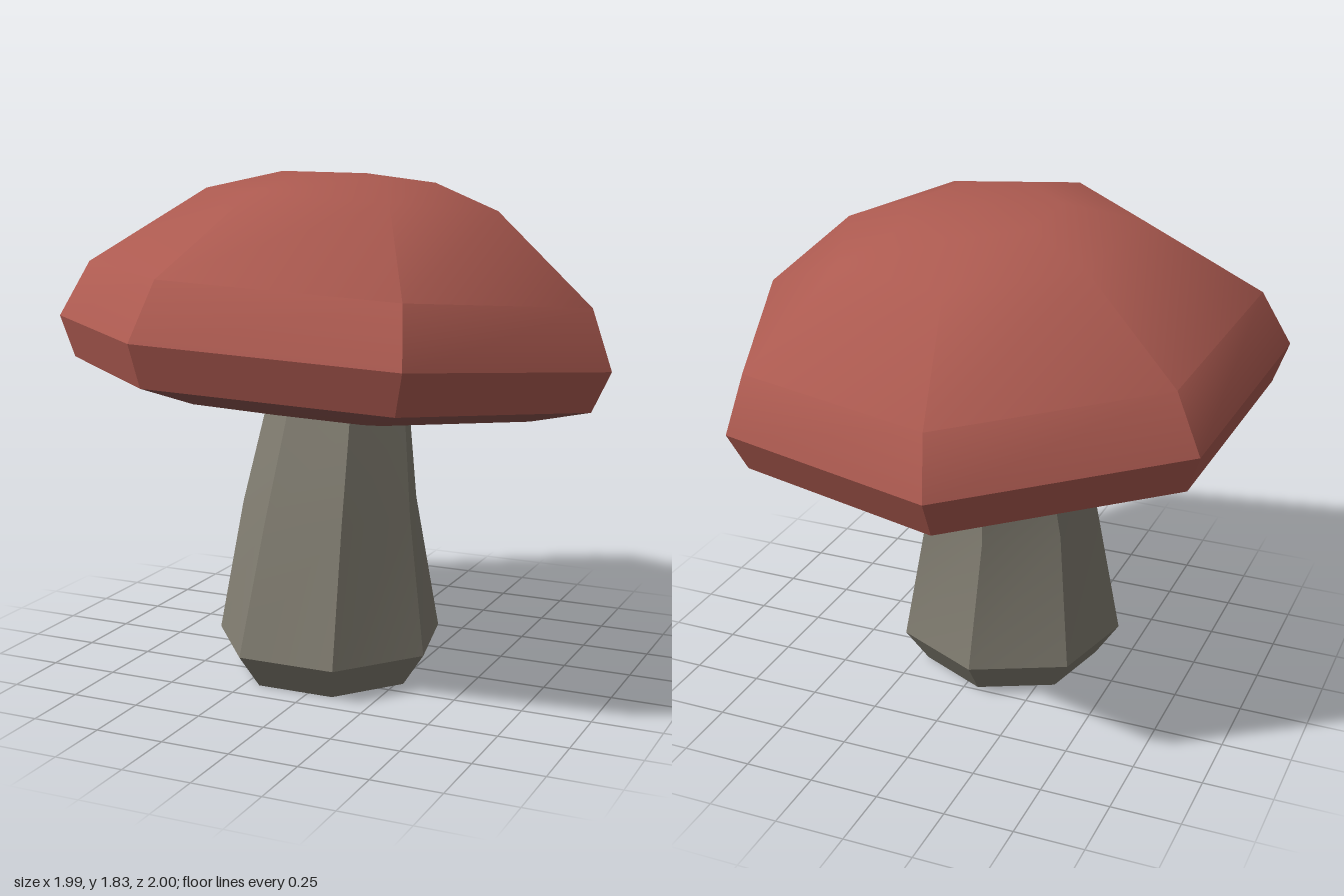
import * as THREE from 'three';
import { toCreasedNormals } from 'three/addons/utils/BufferGeometryUtils.js';

// Skin a stack of rings, listed from bottom to top; a ring of one point closes an end.
function loft(rings, crease) {
  const pos = [];
  const tri = (...pts) => pts.forEach((p) => pos.push(p.x, p.y, p.z));
  const n = Math.max(...rings.map((r) => r.length));
  const at = (ring, j) => ring[j % ring.length];
  for (let i = 0; i < rings.length - 1; i++) {
    const low = rings[i], high = rings[i + 1];
    for (let j = 0; j < n; j++) {
      const a = at(low, j), b = at(low, j + 1), c = at(high, j + 1), d = at(high, j);
      if (low.length > 1) tri(a, d, b);
      if (high.length > 1) tri(d, c, b);
    }
  }
  const geo = new THREE.BufferGeometry();
  geo.setAttribute('position', new THREE.Float32BufferAttribute(pos, 3));
  return toCreasedNormals(geo, crease);
}

// Seven-cornered outline of the cap rim, seen from above (x, z)
const OUTLINE = [
  [0.99, 0.09], [0.55, 0.87], [-0.34, 1.0], [-1.0, 0.39],
  [-0.93, -0.5], [-0.19, -1.0], [0.66, -0.74],
];

// Scaled outline on the tilted cap, moved along the cap's axis
function capRing([scale, offset]) {
  const point = (x, z) => new THREE.Vector3(
    x * scale + 0.044 * offset,
    1.22 - 0.044 * x * scale + 0.092 * z * scale + offset,
    z * scale - 0.092 * offset,
  );
  return scale === 0 ? [point(0, 0)] : OUTLINE.map(([x, z]) => point(x, z));
}

// Level heptagon for the stem, slightly twisted
function stemRing([y, radius, cx, cz, twist]) {
  if (radius === 0) return [new THREE.Vector3(cx, y, cz)];
  return Array.from({ length: 7 }, (_, i) => {
    const a = Math.PI / 14 + (i * Math.PI * 2) / 7 - twist;
    return new THREE.Vector3(cx + radius * Math.cos(a), y, cz + radius * Math.sin(a));
  });
}

export function createModel() {
  const group = new THREE.Group();
  const material = (name, color) => {
    const m = new THREE.MeshStandardMaterial({ color });
    m.name = name;
    return m;
  };
  const add = (name, geo, mat) => {
    const mesh = new THREE.Mesh(geo, mat);
    mesh.name = name;
    group.add(mesh);
  };
  const red = material('capRed', 0xac5a50);
  const brown = material('undersideBrown', 0x8e5650);
  const grey = material('stemGrey', 0x807c70);

  // Domed cap with its bevelled rim: [scale, offset along axis]
  add('cap', loft([
    [0.94, -0.145], [1, 0], [0.91, 0.205], [0.53, 0.5], [0.28, 0.58], [0, 0.595],
  ].map(capRing), 0.68), red);

  // Shallow underside of the cap
  add('capUnderside', loft([
    [0, -0.28], [0.35, -0.26], [0.72, -0.205], [0.94, -0.145],
  ].map(capRing), 0.68), brown);

  // Bent stem with a bevelled foot: [height, radius, centre x, centre z, twist]
  add('stem', loft([
    [0, 0, -0.05, 0.1, 0],
    [0, 0.333, -0.05, 0.1, 0],
    [0.125, 0.42, -0.05, 0.1, 0],
    [0.62, 0.33, -0.045, 0.09, 0.08],
    [0.95, 0.275, -0.04, 0.035, 0.1],
    [1.08, 0.255, -0.04, 0.015, 0.1],
    [1.08, 0, -0.04, 0.015, 0],
  ].map(stemRing), 0.6), grey);

  return group;
}
